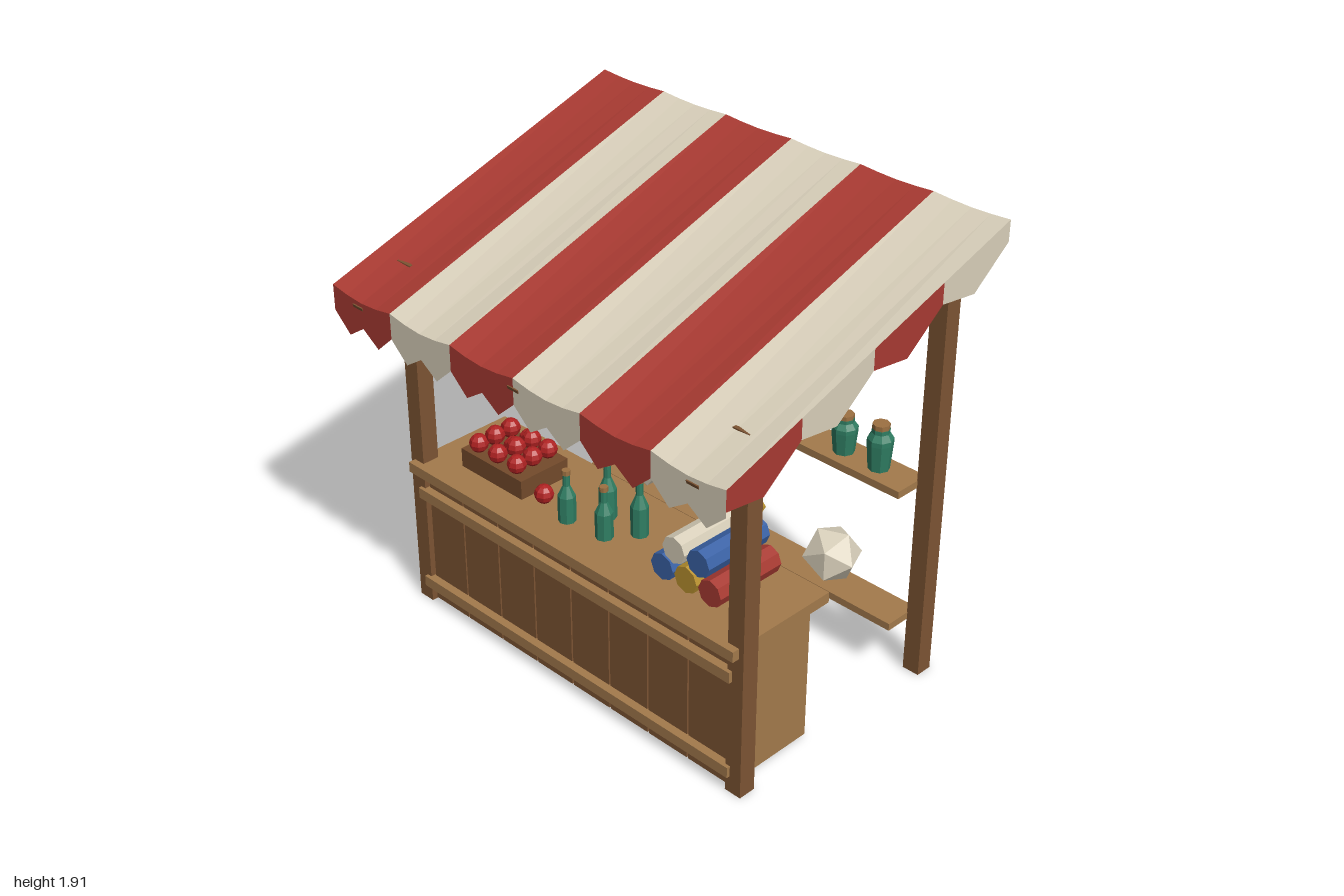
import * as THREE from 'three';

const mat = (color, double) => {
  const m = new THREE.MeshStandardMaterial({ color, flatShading: true });
  if (double) m.side = THREE.DoubleSide;
  return m;
};
const darkWood = mat(0x7d5433), lightWood = mat(0xa37a4c), crateWood = mat(0x734a2b);
const redCloth = mat(0xa83a32, true), creamCloth = mat(0xd8cfba, true);
const green = mat(0x2f7d62), cork = mat(0x9c7042), apple = mat(0xb02222);
const blue = mat(0x3a62a6), gold = mat(0xb8912f), red = mat(0xa83a32), cream = mat(0xd8cfba);

function add(parent, name, geometry, material, x = 0, y = 0, z = 0) {
  const mesh = new THREE.Mesh(geometry, material);
  mesh.name = name;
  mesh.position.set(x, y, z);
  parent.add(mesh);
  return mesh;
}

// box given by its min and max on each axis
function box(parent, name, material, [x0, x1], [y0, y1], [z0, z1]) {
  return add(parent, name, new THREE.BoxGeometry(x1 - x0, y1 - y0, z1 - z0), material,
    (x0 + x1) / 2, (y0 + y1) / 2, (z0 + z1) / 2);
}

function group(parent, name) {
  const g = new THREE.Group();
  g.name = name;
  parent.add(g);
  return g;
}

// cloth strip between an upper and a lower row of points
function strip(upper, lower) {
  const p = [];
  for (let i = 0; i < upper.length - 1; i++) {
    p.push(...upper[i], ...lower[i], ...lower[i + 1], ...upper[i], ...lower[i + 1], ...upper[i + 1]);
  }
  const g = new THREE.BufferGeometry();
  g.setAttribute('position', new THREE.Float32BufferAttribute(p, 3));
  g.computeVertexNormals();
  return g;
}

const SLOPE = 0.46 / 1.4;
const roofY = z => 1.685 - SLOPE * z;

function buildCanopy(root) {
  const canopy = group(root, 'canopy');
  const ts = [0, 0.25, 0.5, 0.75, 1];
  // six sagging stripes, each with a two-pointed front valance
  for (let i = 0; i < 6; i++) {
    const cloth = i % 2 ? creamCloth : redCloth;
    const row = (z, sag) => ts.map(t => [-1 + (i + t) / 3, roofY(z) - sag * Math.sin(Math.PI * t), z]);
    const back = row(-0.7, 0.008), front = row(0.7, 0.02);
    const hem = front.map(([x, y, z], k) => [x, y - (k % 2 ? 0.166 : 0.105), z]);
    add(canopy, 'roofStripe', strip(back, front), cloth);
    add(canopy, 'frontValance', strip(front, hem), cloth);
  }
  // side valances, four single-pointed pieces per side
  for (const side of [1, -1]) {
    for (let i = 0; i < 4; i++) {
      const upper = [0, 0.5, 1].map(t => {
        const z = 0.7 - (i + t) * 0.35;
        return [side, roofY(z), z];
      });
      const lower = upper.map(([x, y, z], k) => [x, y - (k === 1 ? 0.163 : 0.083), z]);
      if (side < 0) { upper.reverse(); lower.reverse(); }
      add(canopy, 'sideValance', strip(upper, lower), i % 2 ? creamCloth : redCloth);
    }
  }
}

function buildFrame(root) {
  const frame = group(root, 'frame');
  for (const s of [-1, 1]) {
    const xs = [s * 0.855 - 0.037, s * 0.855 + 0.037];
    box(frame, 'frontPost', darkWood, xs, [0, 1.515], [0.405, 0.479]);
    box(frame, 'backPost', darkWood, xs, [0, 1.8], [-0.602, -0.53]);
  }
  box(frame, 'frontBeam', darkWood, [-0.9, 0.9], [1.41, 1.465], [0.415, 0.47]);
  box(frame, 'backBeam', darkWood, [-0.9, 0.9], [1.745, 1.8], [-0.595, -0.54]);
  // sloping rafters
  for (const x of [-0.855, 0, 0.855]) {
    const rafter = add(frame, 'rafter', new THREE.BoxGeometry(0.055, 0.055, 1.465), darkWood, x, roofY(0) - 0.065, 0);
    rafter.rotation.x = Math.atan(SLOPE);
  }
  for (const [name, y] of [['upperShelf', 0.827], ['lowerShelf', 0.232]]) {
    box(frame, name, lightWood, [-0.82, 0.82], [y, y + 0.031], [-0.58, -0.42]);
  }
}

function buildCounter(root) {
  const counter = group(root, 'counter');
  box(counter, 'counterBody', lightWood, [-0.82, 0.82], [0.005, 0.61], [0.05, 0.435]);
  box(counter, 'counterTop', lightWood, [-0.87, 0.87], [0.61, 0.654], [0.01, 0.51]);
  for (let i = 0; i < 8; i++) {
    const x = -0.815 + i * 0.2038;
    box(counter, 'frontPlank', darkWood, [x + 0.004, x + 0.2], [0.01, 0.595], [0.43, 0.46]);
  }
  for (const y of [0.072, 0.495]) {
    box(counter, 'frontRail', lightWood, [-0.84, 0.84], [y, y + 0.046], [0.455, 0.494]);
  }
}

const lathe = (points, sides) =>
  new THREE.LatheGeometry(points.map(([r, y]) => new THREE.Vector2(r, y)), sides);

function buildGoods(root) {
  const goods = group(root, 'goods');

  // corked jars on the upper shelf, alternating height
  const jarGeo = lathe([[0, 0], [0.042, 0], [0.051, 0.11], [0.051, 0.13], [0.035, 0.155], [0.035, 0.172], [0, 0.172]], 8);
  const jarCork = new THREE.CylinderGeometry(0.034, 0.034, 0.02, 8);
  [-0.625, -0.43, -0.23, 0.295, 0.49, 0.66].forEach((x, i) => {
    const jar = group(goods, 'jar');
    add(jar, 'jarGlass', jarGeo, green);
    add(jar, 'jarCork', jarCork, cork, 0, 0.182, 0);
    jar.position.set(x, 0.858, -0.5);
    jar.scale.y = [0.85, 1, 0.85, 1, 0.85, 1][i];
  });

  // slim bottles on the counter
  const bottleGeo = lathe([[0, 0], [0.035, 0], [0.035, 0.125], [0.014, 0.175], [0.014, 0.232], [0, 0.232]], 8);
  const bottleCork = new THREE.CylinderGeometry(0.017, 0.017, 0.022, 8);
  [[-0.13, 0.35], [-0.04, 0.225], [0.05, 0.33], [0.13, 0.225]].forEach(([x, z], i) => {
    const bottle = group(goods, 'bottle');
    add(bottle, 'bottleGlass', bottleGeo, green);
    add(bottle, 'bottleCork', bottleCork, cork, 0, 0.24, 0);
    bottle.position.set(x, 0.654, z);
    bottle.scale.y = i % 2 ? 1 : 0.88;
  });

  // crate heaped with apples, and one loose apple
  box(goods, 'crate', crateWood, [-0.7, -0.353], [0.654, 0.735], [0.14, 0.38]);
  const appleGeo = new THREE.SphereGeometry(0.039, 8, 6);
  for (const z of [0.18, 0.26, 0.34]) {
    for (const x of [-0.64, -0.53, -0.42]) add(goods, 'apple', appleGeo, apple, x, 0.768, z);
  }
  for (const z of [0.22, 0.3]) {
    for (const x of [-0.587, -0.467]) add(goods, 'apple', appleGeo, apple, x, 0.81, z);
  }
  add(goods, 'looseApple', appleGeo, apple, -0.28, 0.693, 0.33);

  // stacked cloth rolls
  const rollGeo = new THREE.CylinderGeometry(0.055, 0.055, 0.315, 8).rotateX(Math.PI / 2);
  for (const [x, y, m] of [[0.395, 0.711, blue], [0.512, 0.711, gold], [0.63, 0.711, red],
    [0.452, 0.808, cream], [0.572, 0.808, blue]]) {
    add(goods, 'clothRoll', rollGeo, m, x, y, 0.218);
  }

  // faceted sacks on the lower shelf
  const sackGeo = new THREE.IcosahedronGeometry(0.12, 0);
  [[0.46, cream], [-0.05, gold], [-0.55, cream]].forEach(([x, m], i) => {
    const sack = add(goods, 'sack', sackGeo, m, x, i === 1 ? 0.36 : 0.375, -0.5);
    sack.rotation.y = 0.4 + i * 0.9;
  });
}

export function createModel() {
  const root = new THREE.Group();
  root.name = 'marketStall';
  buildCanopy(root);
  buildFrame(root);
  buildCounter(root);
  buildGoods(root);
  return root;
}
